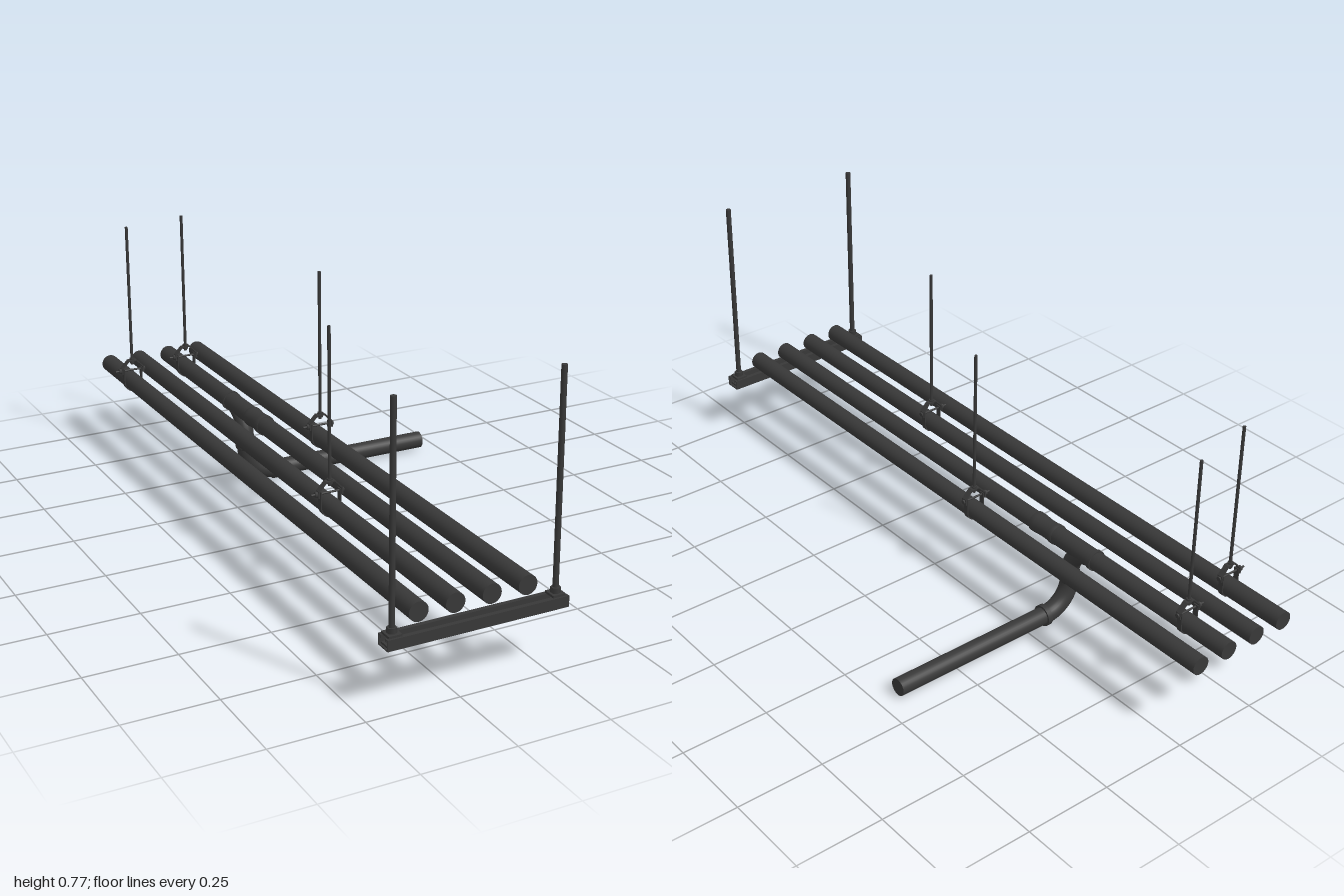
import * as THREE from 'three';

const mat = new THREE.MeshStandardMaterial({ color: 0x383838, side: THREE.DoubleSide });
const R = 0.026, PIPE_Y = 0.234, BRANCH_Z = -0.408, LOW_Y = 0.035;
const V = (x, y, z) => new THREE.Vector3(x, y, z);

function add(parent, name, geo, x = 0, y = 0, z = 0) {
  const m = new THREE.Mesh(geo, mat);
  m.name = name;
  m.position.set(x, y, z);
  parent.add(m);
  return m;
}

// Capped cylinder between two points
function rod(parent, name, a, b, r, sides = 28) {
  const d = b.clone().sub(a);
  const m = add(parent, name, new THREE.CylinderGeometry(r, r, d.length(), sides));
  m.position.copy(a).add(b).multiplyScalar(0.5);
  m.quaternion.setFromUnitVectors(V(0, 1, 0), d.normalize());
  return m;
}

// Flat strip bent along an open polyline in xy, centred on z
function strap(parent, name, pts, t, width) {
  const side = (s) => pts.map((p, i) => {
    const a = pts[Math.max(i - 1, 0)], b = pts[Math.min(i + 1, pts.length - 1)];
    const dx = b[0] - a[0], dy = b[1] - a[1], l = Math.hypot(dx, dy);
    return new THREE.Vector2(p[0] - dy / l * t * s / 2, p[1] + dx / l * t * s / 2);
  });
  const shape = new THREE.Shape([...side(1), ...side(-1).reverse()]);
  const geo = new THREE.ExtrudeGeometry(shape, { depth: width, bevelEnabled: false });
  geo.translate(0, 0, -width / 2);
  return add(parent, name, geo);
}

// Clevis hanger with its threaded rod, origin at the pipe centre
function hanger(x, z) {
  const g = new THREE.Group();
  g.name = 'clevisHanger';
  const r = R + 0.002, boltY = 0.038, u = [[-r, boltY + 0.006]];
  for (let i = 0; i <= 20; i++) {
    const a = Math.PI * (1 + i / 20);
    u.push([r * Math.cos(a), r * Math.sin(a)]);
  }
  u.push([r, boltY + 0.006]);
  strap(g, 'lowerStrap', u, 0.003, 0.016);
  strap(g, 'upperYoke', [[-0.034, 0.028], [-0.034, 0.046], [-0.012, 0.069],
    [0.012, 0.069], [0.034, 0.046], [0.034, 0.028]], 0.004, 0.016);
  rod(g, 'crossBolt', V(-0.054, boltY, 0), V(0.036, boltY, 0), 0.003, 12);
  rod(g, 'boltNut', V(-0.043, boltY, 0), V(-0.036, boltY, 0), 0.008, 6);
  rod(g, 'boltHead', V(0.035, boltY, 0), V(0.04, boltY, 0), 0.007, 6);
  rod(g, 'hangerRod', V(0, 0.056, 0), V(0, 0.489, 0), 0.0045, 12);
  rod(g, 'upperNut', V(0, 0.07, 0), V(0, 0.076, 0), 0.008, 6);
  rod(g, 'lowerNut', V(0, 0.061, 0), V(0, 0.067, 0), 0.008, 6);
  g.position.set(x, PIPE_Y, z);
  return g;
}

// Slotted strut channel, open at the top, with inturned lips
function strut() {
  const g = new THREE.Group();
  g.name = 'strutChannel';
  const L = 0.492, W = 0.046, H = 0.029, t = 0.003;
  const base = new THREE.Shape([[-L / 2, -W / 2], [L / 2, -W / 2], [L / 2, W / 2], [-L / 2, W / 2]]
    .map(([x, y]) => new THREE.Vector2(x, y)));
  for (let i = 0; i < 6; i++) {
    const c = (i - 2.5) * 0.082, s = 0.02, r = 0.009;
    const slot = new THREE.Path();
    slot.absarc(c + s, 0, r, -Math.PI / 2, Math.PI / 2);
    slot.absarc(c - s, 0, r, Math.PI / 2, Math.PI * 1.5);
    base.holes.push(slot);
  }
  const plate = new THREE.ExtrudeGeometry(base, { depth: t, bevelEnabled: false });
  add(g, 'slottedBase', plate.rotateX(-Math.PI / 2));
  for (const s of [-1, 1]) {
    add(g, 'sideWall', new THREE.BoxGeometry(L, H, t), 0, H / 2, s * (W - t) / 2);
    add(g, 'lip', new THREE.BoxGeometry(L, t, 0.011), 0, H - t / 2, s * (W / 2 - 0.0055));
    add(g, 'lipReturn', new THREE.BoxGeometry(L, 0.008, t), 0, H - 0.004, s * (W / 2 - 0.0105));
  }
  g.position.set(-0.197, 0.167, 0.974);
  return g;
}

// Trapeze rod with square washers and nuts clamping the strut
function trapezeRod(x) {
  const g = new THREE.Group();
  g.name = 'trapezeRod';
  rod(g, 'threadedRod', V(0, 0.165, 0), V(0, 0.774, 0), 0.0075, 14);
  add(g, 'squareWasher', new THREE.BoxGeometry(0.035, 0.006, 0.036), 0, 0.199, 0);
  rod(g, 'topNut', V(0, 0.202, 0), V(0, 0.216, 0), 0.013, 6);
  add(g, 'innerWasher', new THREE.BoxGeometry(0.035, 0.005, 0.036), 0, 0.1725, 0);
  rod(g, 'innerNut', V(0, 0.175, 0), V(0, 0.187, 0), 0.012, 6);
  g.position.set(x, 0, 0.974);
  return g;
}

export function createModel() {
  const model = new THREE.Group();

  // Four parallel pipes, each with one hanger
  const runs = [[-0.346, -0.805], [-0.248, 0.332], [-0.149, -0.852], [-0.05, -0.113]];
  for (const [x, hz] of runs) {
    rod(model, 'mainPipe', V(x, PIPE_Y, -1), V(x, PIPE_Y, 0.968), R);
    model.add(hanger(x, hz));
  }

  // Trapeze support at the front
  model.add(strut(), trapezeRod(-0.42), trapezeRod(0.024));

  // Sweeping tee under the third pipe
  const px = runs[2][0];
  const fitting = new THREE.Group();
  fitting.name = 'branchFitting';
  model.add(fitting);
  rod(fitting, 'teeBody', V(px, PIPE_Y, -0.5), V(px, PIPE_Y, -0.35), R + 0.001);
  rod(fitting, 'rearCollar', V(px, PIPE_Y, -0.511), V(px, PIPE_Y, -0.499), 0.0295);
  const hub = [[0.0262, 0], [0.0295, 0], [0.0295, 0.012], [0.0275, 0.022], [0.027, 0.05],
    [0.0295, 0.075], [0.0295, 0.09], [0.0262, 0.09]].map(([a, b]) => new THREE.Vector2(a, b));
  add(fitting, 'frontHub', new THREE.LatheGeometry(hub, 28), px, PIPE_Y, -0.356).rotation.x = Math.PI / 2;
  const sweep = new THREE.CubicBezierCurve3(V(px, PIPE_Y, -0.505), V(px, PIPE_Y - 0.002, -0.445),
    V(px, 0.2, BRANCH_Z), V(px, 0.13, BRANCH_Z));
  add(fitting, 'branchSweep', new THREE.TubeGeometry(sweep, 24, 0.0255, 24));

  // Elbow with a collar at each end
  const bend = 0.085, bx = px + bend, by = LOW_Y + bend;
  const k = bend * 0.5523;
  const elbow = new THREE.CubicBezierCurve3(V(px, by, BRANCH_Z), V(px, by - k, BRANCH_Z),
    V(bx - k, LOW_Y, BRANCH_Z), V(bx, LOW_Y, BRANCH_Z));
  add(fitting, 'elbow', new THREE.TubeGeometry(elbow, 24, 0.026, 24));
  const collar = [[0.024, 0], [0.028, 0], [0.03, 0.004], [0.03, 0.024], [0.028, 0.03], [0.024, 0.03]]
    .map(([a, b]) => new THREE.Vector2(a, b));
  add(fitting, 'upperCollar', new THREE.LatheGeometry(collar, 28), px, 0.117, BRANCH_Z);
  rod(fitting, 'lowerCollar', V(bx - 0.002, LOW_Y, BRANCH_Z), V(bx + 0.012, LOW_Y, BRANCH_Z), 0.0305);

  // Side outlet pipe
  rod(model, 'outletPipe', V(bx, LOW_Y, BRANCH_Z), V(0.443, LOW_Y, BRANCH_Z), 0.025);
  return model;
}
